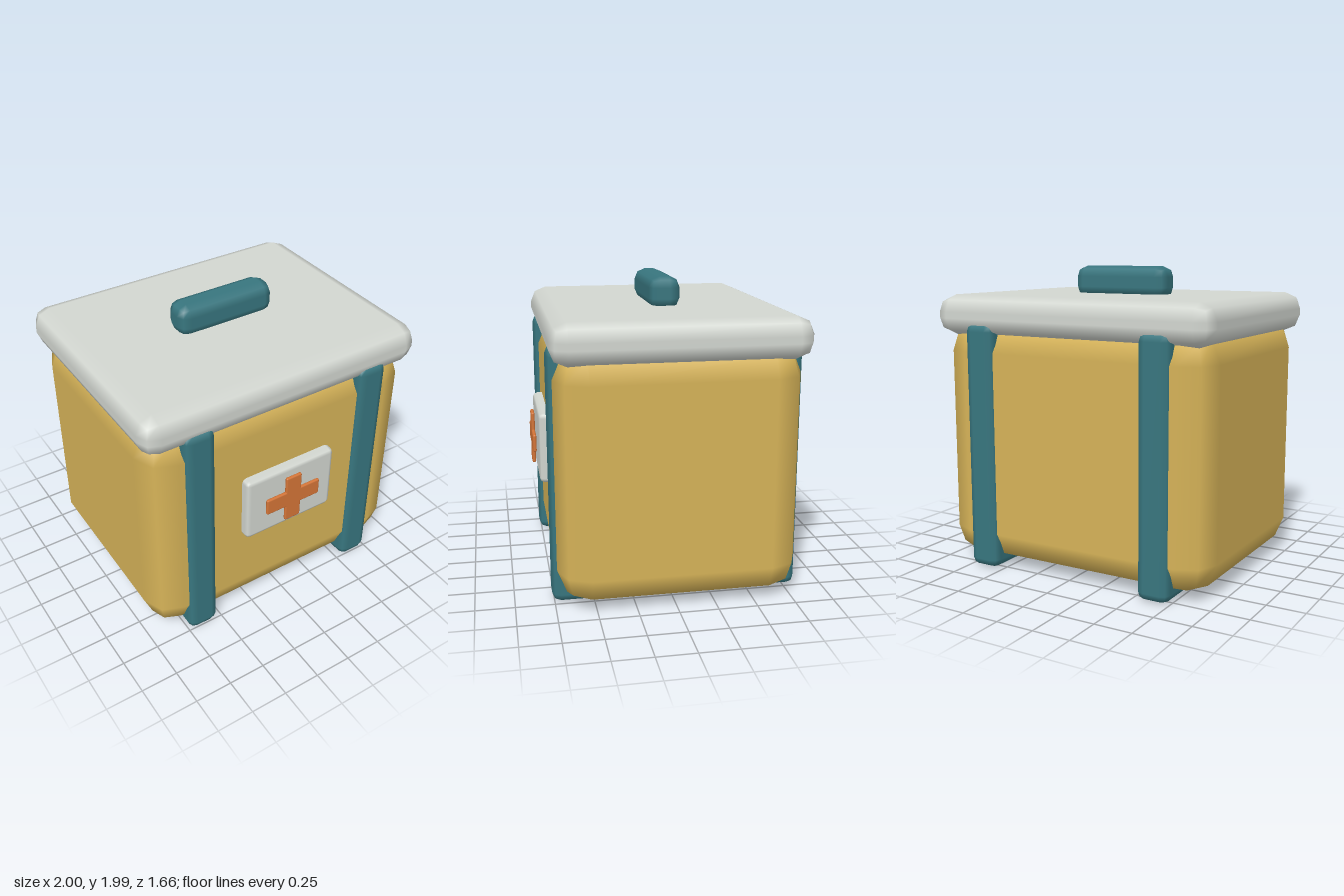
import * as THREE from 'three';
import { RoundedBoxGeometry } from 'three/addons/geometries/RoundedBoxGeometry.js';

function material(name, color) {
  const m = new THREE.MeshStandardMaterial({ color });
  m.name = name;
  return m;
}

// Box with soft bevelled edges, given by its [min, max] extent on each axis
function softBox(name, mat, [x0, x1], [y0, y1], [z0, z1], radius) {
  const mesh = new THREE.Mesh(new RoundedBoxGeometry(x1 - x0, y1 - y0, z1 - z0, 1, radius), mat);
  mesh.position.set((x0 + x1) / 2, (y0 + y1) / 2, (z0 + z1) / 2);
  mesh.name = name;
  return mesh;
}

export function createModel() {
  const yellow = material('mustard yellow', 0xd6b358);
  const white = material('off white', 0xd3d7d1);
  const teal = material('teal', 0x38767f);
  const orange = material('orange', 0xd67638);

  const group = new THREE.Group();
  group.name = 'firstAidCrate';

  // Main case and lid
  group.add(softBox('body', yellow, [-0.97, 0.97], [0.038, 1.65], [-0.8, 0.733], 0.2));
  group.add(softBox('lid', white, [-1, 1], [1.555, 1.817], [-0.831, 0.761], 0.11));

  // Grip on the lid
  group.add(softBox('handle', teal, [-0.345, 0.345], [1.79, 2], [-0.136, 0.066], 0.07));

  // Straps wrapping front, bottom and back
  for (const [name, x] of [['leftStrap', 0.638], ['rightStrap', -0.638]]) {
    group.add(softBox(name, teal, [x - 0.108, x + 0.108], [0.006, 1.641], [-0.832, 0.764], 0.055));
  }

  // Front badge with a cross
  group.add(softBox('badgePlate', white, [-0.334, 0.334], [0.67, 1.137], [0.7, 0.797], 0.03));
  const cross = new THREE.Group();
  cross.name = 'cross';
  cross.add(softBox('crossUpright', orange, [-0.059, 0.059], [0.73, 1.08], [0.807, 0.831], 0.01));
  cross.add(softBox('crossBar', orange, [-0.204, 0.204], [0.846, 0.964], [0.807, 0.831], 0.01));
  group.add(cross);

  return group;
}
